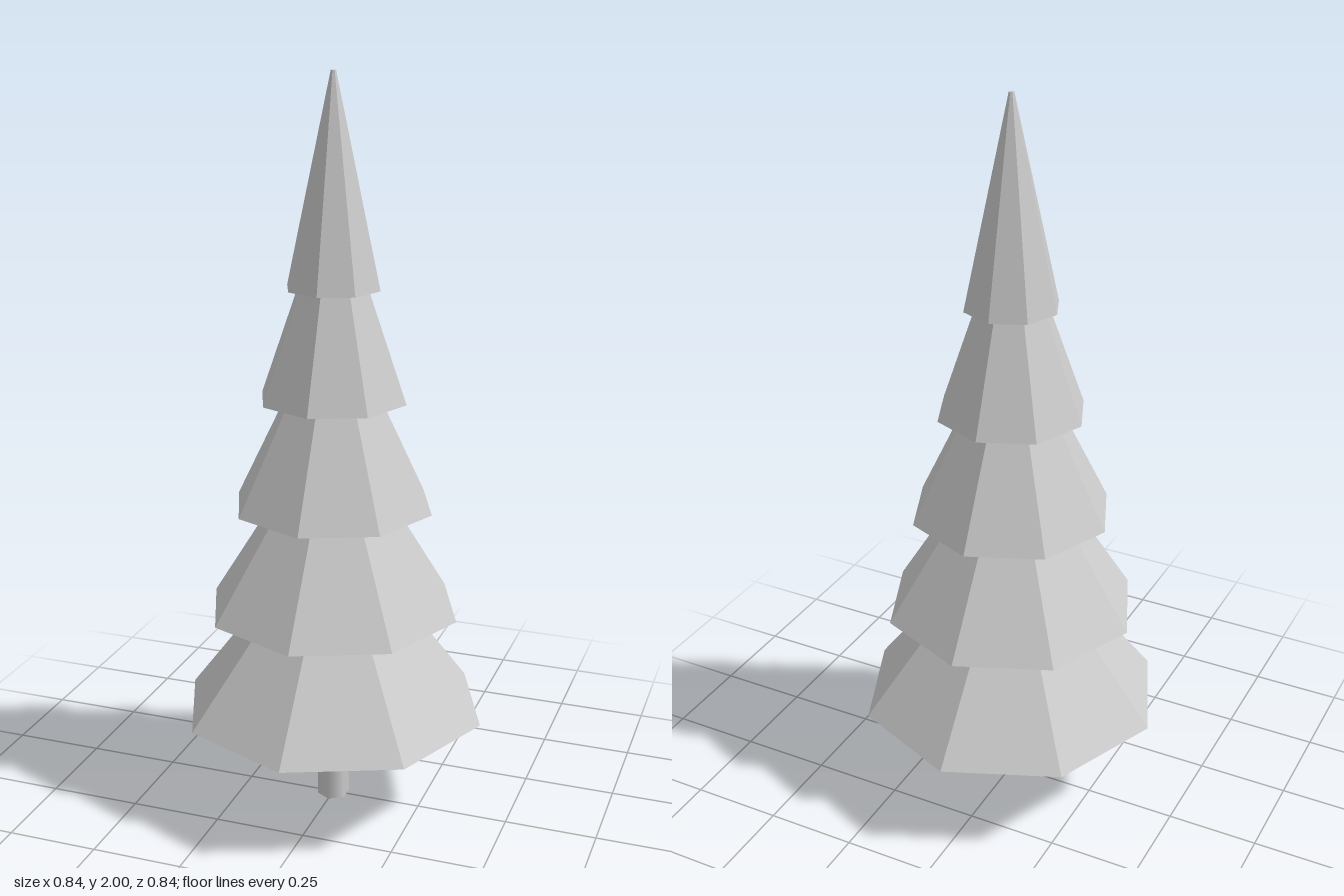
import * as THREE from 'three';

export function createModel() {
  const tree = new THREE.Group();
  tree.name = 'pineTree';
  const foliage = new THREE.MeshStandardMaterial({ color: 0xcccccc, flatShading: true });
  const bark = new THREE.MeshStandardMaterial({ color: 0xcccccc });

  // Slightly tapered six-sided trunk
  const trunkHeight = 0.32;
  const trunk = new THREE.Mesh(new THREE.CylinderGeometry(0.04, 0.045, trunkHeight, 6), bark);
  trunk.name = 'trunk';
  trunk.position.y = trunkHeight / 2;
  tree.add(trunk);

  // Five overlapping eight-sided tiers, narrowing towards the blunt tip
  const tiers = 5, tierHeight = 0.545;
  for (let i = 0; i < tiers; i++) {
    const radius = 0.42 - i * 0.0733;
    const base = 0.28 + i * 0.29375;
    const tier = new THREE.Mesh(new THREE.CylinderGeometry(0.007, radius, tierHeight, 8), foliage);
    tier.name = `foliageTier${i + 1}`;
    tier.position.y = base + tierHeight / 2;
    tree.add(tier);
  }
  return tree;
}
